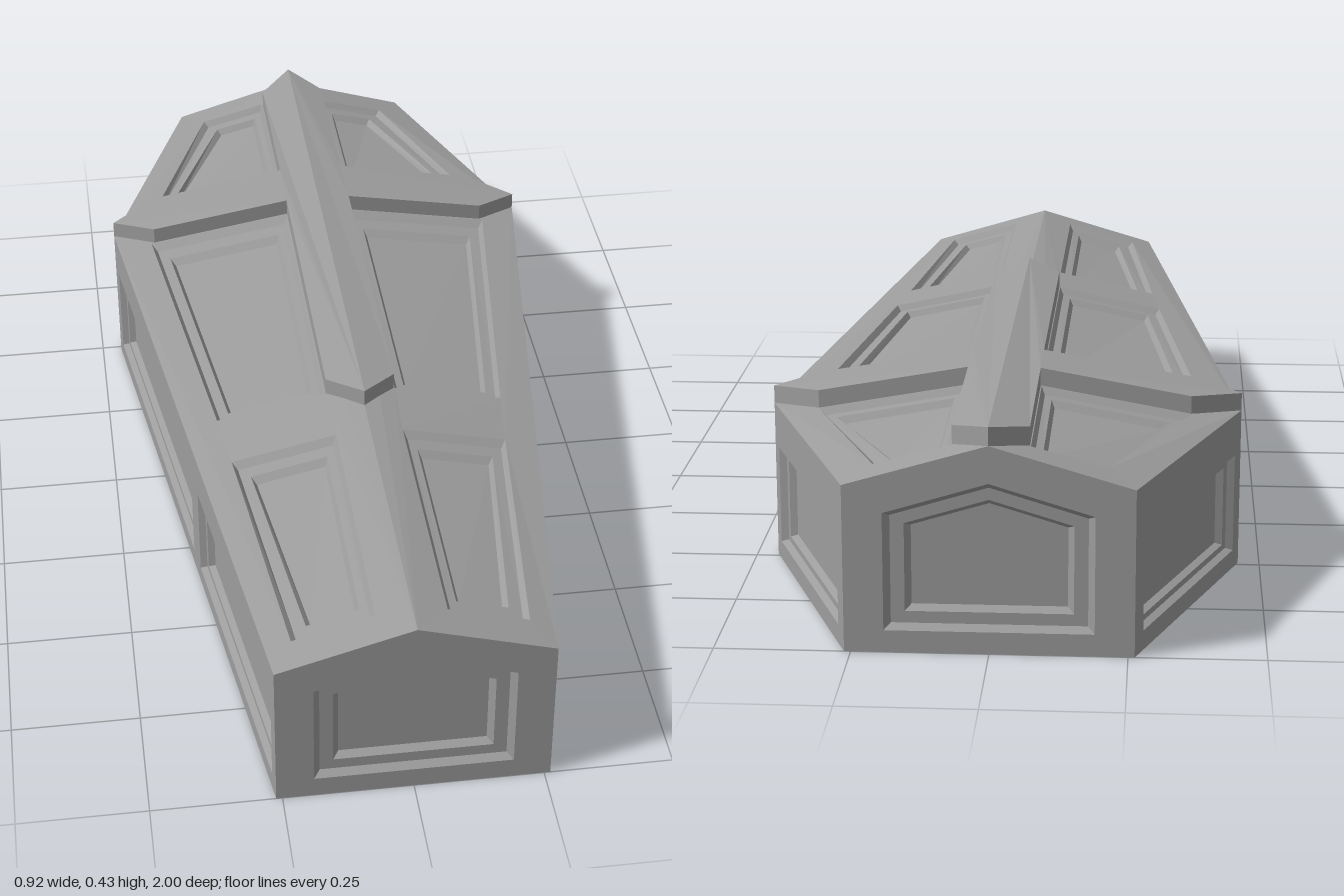
import * as THREE from 'three';

const FOOT = 0.262, WIDE = 0.458, KINK = -0.49;   // half widths and the z of the shoulders
const EDGE = 0.315, RIDGE = 0.392;                // lid heights
const material = new THREE.MeshStandardMaterial({ color: 0x9d9d9d, flatShading: true });

const halfWidth = z => z < KINK
  ? FOOT + (WIDE - FOOT) * (z + 1) / (KINK + 1)
  : WIDE - (WIDE - FOOT) * (z - KINK) / (1 - KINK);

// Mappings take (u, v, depth) to a point; u x v points outwards.
const lidMap = (u, v, d) => [u, RIDGE - (RIDGE - EDGE) * Math.abs(u) / halfWidth(-v) - d, -v];
const floorMap = (u, v) => [u, 0, v];
function wallMap([ax, az], [bx, bz]) {
  const length = Math.hypot(bx - ax, bz - az);
  const dx = (bx - ax) / length, dz = (bz - az) / length;
  return (u, v, d) => [ax + dx * u + dz * d, v, az + dz * u - dx * d];
}

function makeMesh(name, positions) {
  const geometry = new THREE.BufferGeometry();
  geometry.setAttribute('position', new THREE.Float32BufferAttribute(positions, 3));
  geometry.computeVertexNormals();
  const mesh = new THREE.Mesh(geometry, material);
  mesh.name = name;
  return mesh;
}

// Flat face with optional holes, laid on a mapping
function addCap(out, map, outline, holes, depth) {
  const vectors = list => list.map(([u, v]) => new THREE.Vector2(u, v));
  const shape = new THREE.Shape(vectors(outline));
  shape.holes = holes.map(h => new THREE.Path(vectors(h)));
  const flat = new THREE.ShapeGeometry(shape).toNonIndexed().attributes.position;
  for (let i = 0; i < flat.count; i++) out.push(...map(flat.getX(i), flat.getY(i), depth));
}

// Quad strip from loop a at depth da to loop b at depth db
function addBand(out, map, a, da, b, db, closed = true) {
  for (let i = 0; i < a.length - (closed ? 0 : 1); i++) {
    const j = (i + 1) % a.length;
    const p = map(...a[i], da), q = map(...a[j], da), r = map(...b[j], db), s = map(...b[i], db);
    out.push(...p, ...q, ...r, ...p, ...r, ...s);
  }
}

// Stepped moulding: [fraction of inset, depth]
const PROFILE = [[0, 0], [0.25, 0.013], [0.77, 0.013], [1, 0.026]];

// Each panel corner is [outer u, outer v, inner u, inner v], counter-clockwise
function panelledFace(name, map, outline, panels) {
  const out = [];
  addCap(out, map, outline, panels.map(p => p.map(c => [c[0], c[1]])), 0);
  for (const panel of panels) {
    const loops = PROFILE.map(([t]) =>
      panel.map(([u, v, iu, iv]) => [u + (iu - u) * t, v + (iv - v) * t]));
    for (let k = 0; k < 3; k++)
      addBand(out, map, loops[k], PROFILE[k][1], loops[k + 1], PROFILE[k + 1][1]);
    addCap(out, map, loops[3], [], PROFILE[3][1]);
  }
  return makeMesh(name, out);
}

// Mirror a loop about u = centre, keeping it counter-clockwise
const mirrorLoop = (loop, centre = 0) => loop.map(([u, v, iu, iv]) =>
  iu === undefined ? [2 * centre - u, v] : [2 * centre - u, v, 2 * centre - iu, iv]).reverse();

const wallPanel = (u0, u1, a, b) => [
  [u0, 0.037, u0 + a, 0.06], [u1, 0.037, u1 - b, 0.06],
  [u1, 0.232, u1 - b, 0.207], [u0, 0.232, u0 + a, 0.207],
];

export function createModel() {
  const model = new THREE.Group();
  const plan = [[-FOOT, 1], [FOOT, 1], [WIDE, KINK], [FOOT, -1], [-FOOT, -1], [-WIDE, KINK]];

  // Floor
  const floor = [];
  addCap(floor, floorMap, plan, [], 0);
  model.add(makeMesh('floor', floor));

  // Gabled end walls
  const endOutline = [[0, 0], [2 * FOOT, 0], [2 * FOOT, EDGE], [FOOT, RIDGE], [0, EDGE]];
  const endPanel = [
    [-0.19, 0.042, -0.141, 0.085], [0.19, 0.042, 0.141, 0.085], [0.19, 0.264, 0.141, 0.235],
    [0, 0.322, 0, 0.278], [-0.19, 0.264, -0.141, 0.235],
  ].map(([u, v, iu, iv]) => [u + FOOT, v, iu + FOOT, iv]);
  model.add(panelledFace('footWall', wallMap(plan[0], plan[1]), endOutline, [endPanel]));
  model.add(panelledFace('headWall', wallMap(plan[3], plan[4]), endOutline, [endPanel]));

  // Long side walls and shoulder walls, mirrored
  const longPanels = [wallPanel(0.03, 0.645, 0.05, 0.027), wallPanel(0.706, 1.468, 0.06, 0.027)];
  const shoulderPanels = [wallPanel(0.032, 0.506, 0.035, 0.037)];
  const sideWall = (name, a, b, panels, mirrored) => {
    const length = Math.hypot(b[0] - a[0], b[1] - a[1]);
    const outline = [[0, 0], [length, 0], [length, EDGE], [0, EDGE]];
    model.add(panelledFace(name, wallMap(a, b), outline,
      mirrored ? panels.map(p => mirrorLoop(p, length / 2)) : panels));
  };
  sideWall('leftLongWall', plan[1], plan[2], longPanels, false);
  sideWall('leftShoulderWall', plan[2], plan[3], shoulderPanels, false);
  sideWall('rightShoulderWall', plan[4], plan[5], shoulderPanels, true);
  sideWall('rightLongWall', plan[5], plan[0], longPanels, true);

  // Lid halves; v is -z
  const headOutline = [[0, -KINK], [WIDE, -KINK], [FOOT, 1], [0, 1]];
  const bodyOutline = [[0, -1], [FOOT, -1], [WIDE, -KINK], [0, -KINK]];
  const headPanel = [[0.072, 0.565, 0.099, 0.608], [0.36, 0.565, 0.308, 0.608],
    [0.213, 0.935, 0.176, 0.889], [0.072, 0.935, 0.099, 0.889]];
  const middlePanel = [[0.072, -0.25, 0.102, -0.21], [0.293, -0.25, 0.26, -0.21],
    [0.377, 0.427, 0.328, 0.357], [0.072, 0.427, 0.102, 0.357]];
  const footPanel = [[0.067, -0.93, 0.097, -0.877], [0.222, -0.93, 0.18, -0.877],
    [0.277, -0.39, 0.233, -0.447], [0.067, -0.39, 0.097, -0.447]];

  // Raised cross, half outline from the lower tip round to the upper tip
  const crossHalf = [[0, -0.32], [0.07, -0.25], [0.07, 0.43], [0.37, 0.43], [WIDE, -KINK],
    [0.36, 0.562], [0.07, 0.562], [0.07, 0.93], [0, 1]];

  for (const side of ['left', 'right']) {
    const flip = loop => side === 'left' ? loop : mirrorLoop(loop);
    model.add(panelledFace(side + 'LidHead', lidMap, flip(headOutline), [flip(headPanel)]));
    model.add(panelledFace(side + 'LidBody', lidMap, flip(bodyOutline),
      [flip(middlePanel), flip(footPanel)]));

    const cross = [], loop = flip(crossHalf);
    addCap(cross, lidMap, [...loop, [0, -KINK]], [], -0.035);
    addBand(cross, lidMap, loop, 0.004, loop, -0.035, false);
    model.add(makeMesh(side + 'CrossHalf', cross));
  }
  return model;
}
